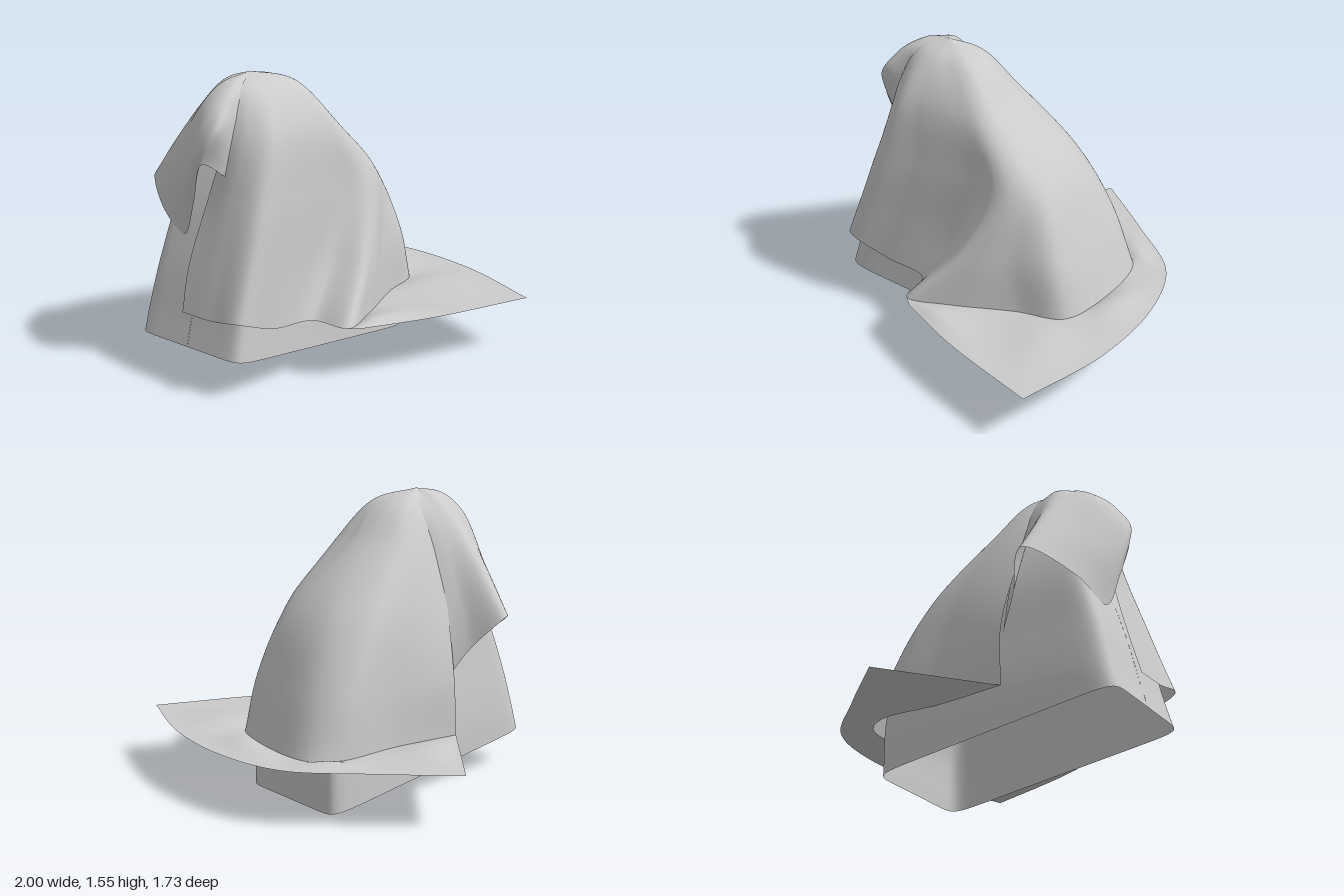
import * as THREE from 'three';

const V = (x, y, z) => new THREE.Vector3(x, y, z);
const curve = (pts) => new THREE.CatmullRomCurve3(pts);

// Smooth surface from a function (u, v) -> Vector3
function sheet(name, fn, nu, nv) {
  const pos = [], idx = [];
  for (let j = 0; j <= nv; j++) {
    for (let i = 0; i <= nu; i++) pos.push(...fn(i / nu, j / nv).toArray());
  }
  for (let j = 0; j < nv; j++) {
    for (let i = 0; i < nu; i++) {
      const a = j * (nu + 1) + i, b = a + nu + 1;
      idx.push(a, a + 1, b, a + 1, b + 1, b);
    }
  }
  const geo = new THREE.BufferGeometry();
  geo.setAttribute('position', new THREE.Float32BufferAttribute(pos, 3));
  geo.setIndex(idx);
  geo.computeVertexNormals();
  const mat = new THREE.MeshStandardMaterial({ color: 0xcccccc, side: THREE.DoubleSide });
  const mesh = new THREE.Mesh(geo, mat);
  mesh.name = name;
  return mesh;
}

// Loft through section curves
function loft(name, sections, nu, nv) {
  const curves = sections.map((s) => curve(s));
  const columns = [];
  for (let i = 0; i <= nu; i++) columns.push(curve(curves.map((c) => c.getPoint(i / nu))));
  return sheet(name, (u, v) => columns[Math.round(u * nu)].getPoint(v), nu, nv);
}

const ring = (y, xz) => xz.map(([x, z]) => V(x, y, z));
const apex = V(-0.05, 1.55, 0.38);

// Hem of the draped cloth, from the front panel's edge round the left, back and right
const hem = ring(0.295, [
  [-0.1, 0.85], [0.1, 0.855], [0.295, 0.845], [0.305, 0.6], [0.34, 0.35], [0.545, 0.32], [0.5, 0.1],
  [0.38, -0.25], [0.32, -0.5], [0.1, -0.59], [-0.32, -0.6], [-0.43, -0.47], [-0.44, -0.1], [-0.49, 0.28],
]);
[0.38, 0.385, 0.41, 0.32].forEach((y, i) => { hem[i].y = y; });

const drapeRings = [
  hem,
  ring(0.6, [
    [-0.11, 0.79], [0.1, 0.795], [0.285, 0.775], [0.29, 0.5], [0.298, 0.15], [0.43, 0.05], [0.425, -0.05],
    [0.37, -0.2], [0.3, -0.43], [0.1, -0.49], [-0.27, -0.5], [-0.41, -0.39], [-0.425, -0.1], [-0.48, 0.27],
  ]),
  ring(0.95, [
    [-0.06, 0.69], [0.1, 0.695], [0.265, 0.65], [0.272, 0.4], [0.27, 0.05], [0.315, -0.09], [0.315, -0.16],
    [0.28, -0.24], [0.2, -0.31], [0.05, -0.34], [-0.2, -0.32], [-0.35, -0.2], [-0.38, 0.0], [-0.39, 0.3],
  ]),
  ring(1.3, [
    [0.03, 0.63], [0.12, 0.6], [0.215, 0.52], [0.225, 0.4], [0.22, 0.2], [0.205, 0.07], [0.17, 0.02],
    [0.12, 0.0], [0.06, -0.01], [0.0, -0.02], [-0.1, 0.0], [-0.22, 0.08], [-0.26, 0.2], [-0.25, 0.35],
  ]),
  ring(1.49, [
    [0.02, 0.53], [0.05, 0.5], [0.08, 0.45], [0.1, 0.38], [0.1, 0.3], [0.1, 0.24], [0.09, 0.2],
    [0.07, 0.18], [0.04, 0.17], [0.0, 0.17], [-0.07, 0.18], [-0.13, 0.23], [-0.14, 0.31], [-0.13, 0.4],
  ]),
  hem.map(() => apex),
];

// Outer outline of the cloth lying flat: left edge, curved back edge, right edge
const leftEdge = ring(0.295, [[0.6, 0.27], [0.79, -0.09], [1, -0.63]]);
const backEdge = curve(ring(0.295, [
  [1, -0.63], [0.5, -0.815], [0.03, -0.865], [-0.36, -0.78], [-0.68, -0.48], [-1, -0.14],
]));
const rightEdge = ring(0.295, [[-1, -0.14], [-0.5, 0.27]]);

function outline(t) {
  if (t <= 2) return curve(leftEdge).getPoint(t / 2);
  if (t <= 7) return backEdge.getPoint((t - 2) / 5);
  return rightEdge[0].clone().lerp(rightEdge[1], t - 7);
}

// Thrown-over corner: each line runs from the crown down to its free edge
const flapLines = [
  [V(-0.15, 1.47, 0.29), V(-0.27, 1.22, 0.28), V(-0.38, 0.9, 0.27), V(-0.44, 0.6, 0.26)],
  [V(-0.17, 1.48, 0.36), V(-0.29, 1.3, 0.36), V(-0.41, 1.02, 0.36), V(-0.51, 0.76, 0.36)],
  [V(-0.16, 1.51, 0.42), V(-0.28, 1.38, 0.46), V(-0.46, 1.16, 0.48), V(-0.64, 0.93, 0.48)],
  [V(-0.13, 1.5, 0.51), V(-0.22, 1.35, 0.6), V(-0.32, 1.09, 0.66), V(-0.41, 0.83, 0.665)],
  [V(-0.09, 1.51, 0.54), V(-0.13, 1.38, 0.67), V(-0.17, 1.07, 0.75), V(-0.2, 0.74, 0.72)],
  [V(-0.03, 1.51, 0.55), V(-0.03, 1.41, 0.69), V(-0.06, 1.2, 0.78), V(-0.1, 0.94, 0.75)],
  [V(0.0, 1.5, 0.55), V(0.03, 1.42, 0.66), V(0.05, 1.32, 0.74), V(-0.02, 1.15, 0.77)],
  [V(0.03, 1.48, 0.53), V(0.05, 1.4, 0.58), V(0.06, 1.27, 0.635), V(0.04, 1.08, 0.67)],
].map((line) => [apex, ...line]);

// Body levels: right x, left x, back z, front z, height (the lowest edge is slanted)
const bodyLevels = [
  [-0.42, 0.297, -0.5, 0.86, null],
  [-0.415, 0.287, -0.49, 0.825, 0.33],
  [-0.385, 0.272, -0.41, 0.755, 0.6],
  [-0.33, 0.25, -0.2, 0.635, 0.95],
  [-0.2, 0.18, 0.1, 0.48, 1.28],
  [-0.06, 0.05, 0.25, 0.4, 1.44],
  [-0.001, 0.001, 0.31, 0.312, 1.46],
];
const soft = (s) => Math.sign(s) * Math.abs(s) ** 0.16;

function bodyPoint(level, angle) {
  const [x0, x1, z0, z1, y] = level;
  const x = (x0 + x1) / 2 + ((x1 - x0) / 2) * soft(Math.sin(angle));
  const z = (z0 + z1) / 2 + ((z1 - z0) / 2) * soft(Math.cos(angle));
  return V(x, y ?? 0.075 + 0.15 * z, z);
}

export function createModel() {
  const group = new THREE.Group();
  group.name = 'drapedObject';

  // Hollow tapering body, open underneath
  group.add(sheet('body', (u, v) =>
    curve(bodyLevels.map((l) => bodyPoint(l, u * Math.PI * 2))).getPoint(v), 160, 36));

  // Cloth over the sides, back and left half of the front
  group.add(loft('drape', drapeRings, 156, 60));

  // Cloth spread out flat around the back, with low wrinkles near the hem
  const hemCurve = curve(hem);
  group.add(sheet('spreadCloth', (u, v) => {
    const p = outline(u * 8).lerp(hemCurve.getPoint((5 + 8 * u) / 13), v);
    p.y += 0.04 * Math.sin(Math.PI * v) * v * Math.sin(u * Math.PI * 5) ** 2;
    return p;
  }, 96, 16));

  // Corner of the cloth folded over the front right
  group.add(loft('foldedFlap', flapLines, 48, 70));

  return group;
}
